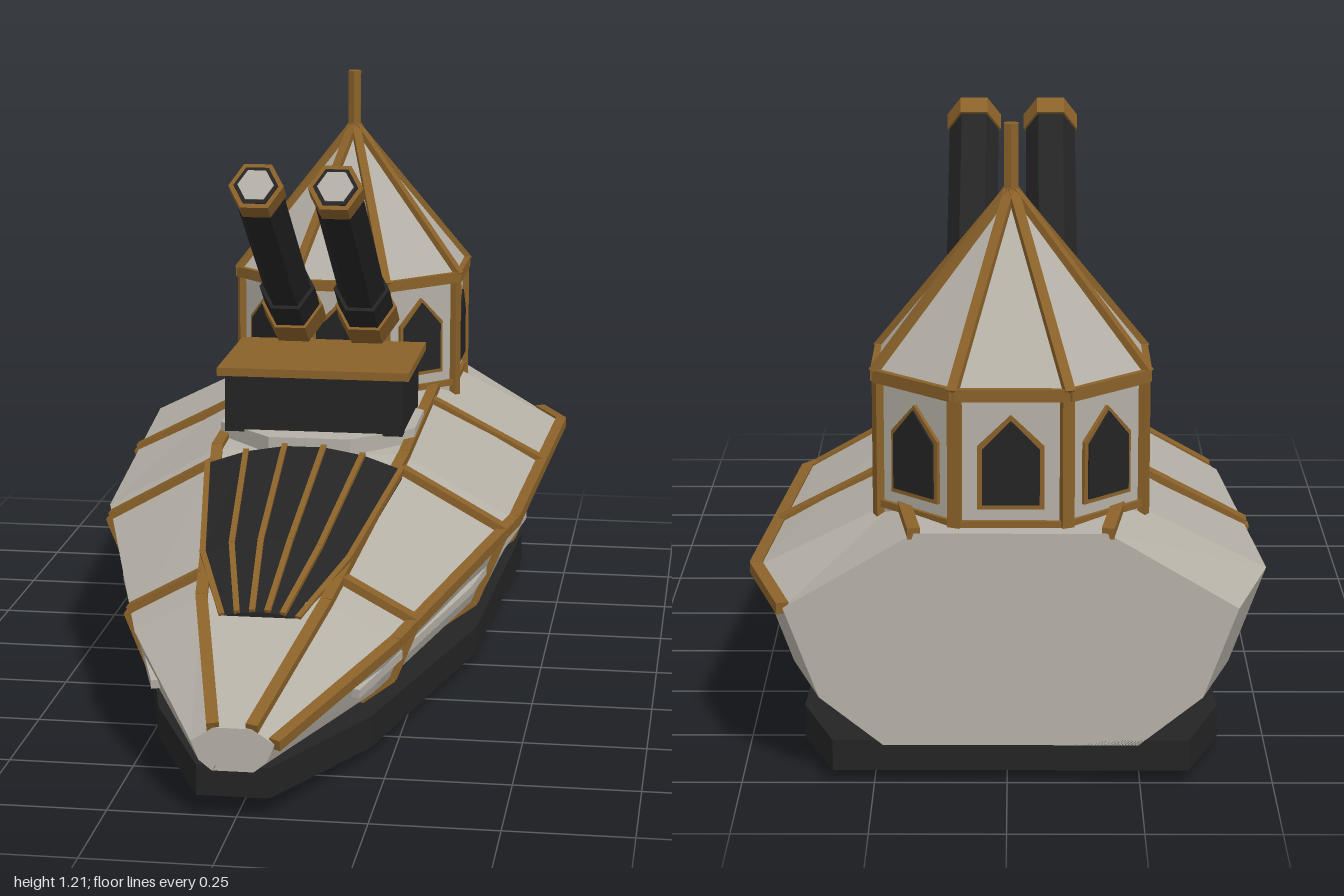
import * as THREE from 'three';

const plating = new THREE.MeshStandardMaterial({ color: 0xb5b0a6 });
plating.name = 'paleplating';
const brass = new THREE.MeshStandardMaterial({ color: 0x8a6129 });
brass.name = 'brass';
const dark = new THREE.MeshStandardMaterial({ color: 0x242424 });
dark.name = 'darkmetal';

const V = (x, y, z) => new THREE.Vector3(x, y, z);
const OCT = 1 / Math.cos(Math.PI / 8);

function flat(geo) {
  const g = geo.index ? geo.toNonIndexed() : geo;
  g.computeVertexNormals();
  return g;
}

function add(parent, name, geo, mat, pos = V(0, 0, 0)) {
  const m = new THREE.Mesh(flat(geo), mat);
  m.name = name;
  m.position.copy(pos);
  parent.add(m);
  return m;
}

// Square bar from a to b; w is measured along side, t across it
function beam(parent, name, a, b, w, t, side, mat = brass) {
  const dir = b.clone().sub(a);
  const len = dir.length();
  dir.normalize();
  const ny = dir.clone().cross(side).normalize();
  const nx = ny.clone().cross(dir);
  const g = new THREE.BoxGeometry(w, t, len);
  g.applyMatrix4(new THREE.Matrix4().makeBasis(nx, ny, dir));
  return add(parent, name, g, mat, a.clone().add(b).multiplyScalar(0.5));
}

// Mirrored loft, bow to stern; each row is z, then x,y pairs from top to bottom
function loft(rows) {
  const pos = [], idx = [];
  const half = (rows[0].length - 1) / 2, n = half * 2;
  for (const [z, ...p] of rows) {
    for (let i = 0; i < half; i++) pos.push(p[2 * i], p[2 * i + 1], z);
    for (let i = half - 1; i >= 0; i--) pos.push(-p[2 * i], p[2 * i + 1], z);
  }
  for (let s = 0; s < rows.length - 1; s++) {
    for (let i = 0; i < n; i++) {
      const a = s * n + i, b = s * n + (i + 1) % n;
      idx.push(a, b, b + n, a, b + n, a + n);
    }
  }
  const e = (rows.length - 1) * n;
  for (let i = 1; i < n - 1; i++) idx.push(0, i + 1, i, e, e + i, e + i + 1);
  const g = new THREE.BufferGeometry();
  g.setAttribute('position', new THREE.Float32BufferAttribute(pos, 3));
  g.setIndex(idx);
  return g;
}

// Hull rows: deck edge, widest edge, chine, keel
const HULL = [
  [1, 0.037, 0.175, 0.08, 0.147, 0.065, 0.11, 0.04, 0.09],
  [0.63, 0.125, 0.315, 0.262, 0.24, 0.22, 0.135, 0.14, 0.075],
  [0, 0.205, 0.465, 0.445, 0.33, 0.38, 0.17, 0.25, 0.075],
  [-0.8, 0.21, 0.5, 0.49, 0.362, 0.42, 0.172, 0.27, 0.075],
  [-1, 0.18, 0.49, 0.425, 0.345, 0.36, 0.17, 0.24, 0.075],
];

// Point on hull edge k at a given z
function hullPoint(k, z, s = 1) {
  let i = 0;
  while (i < HULL.length - 2 && z < HULL[i + 1][0]) i++;
  const A = HULL[i], B = HULL[i + 1], t = (A[0] - z) / (A[0] - B[0]);
  const f = j => A[j] + (B[j] - A[j]) * t;
  return V(s * f(1 + 2 * k), f(2 + 2 * k), z);
}

function buildHull(root) {
  add(root, 'hull', loft(HULL), plating);
  add(root, 'darkSkirt', loft([
    [1, 0.07, 0.1, 0.07, 0.04], [0.63, 0.215, 0.085, 0.215, 0.02], [0, 0.365, 0.085, 0.365, 0.028],
    [-0.8, 0.4, 0.082, 0.4, 0.015], [-1, 0.335, 0.085, 0.335, 0.025],
  ]), dark);
  add(root, 'bottomPlate', loft([
    [0.64, 0.18, 0.04, 0.18, 0.005], [0, 0.31, 0.04, 0.31, 0.01], [-0.79, 0.34, 0.04, 0.34, 0],
  ]), plating);

  const stations = HULL.map(r => r[0]);
  const across = V(1, 0, 0), along = V(0, 0, 1);
  for (const s of [1, -1]) {
    // Deck edge trim on both sides, widest edge trim on the left side
    for (let i = 0; i < 4; i++) {
      for (const k of s > 0 ? [0, 1] : [0]) {
        beam(root, 'edgeTrim', hullPoint(k, stations[i], s), hullPoint(k, stations[i + 1], s), 0.024, 0.022, across);
      }
    }
    // Ribs wrapped around the side
    for (const z of [0.53, 0.06, -0.455]) {
      for (let k = 0; k < 3; k++) {
        beam(root, 'rib', hullPoint(k, z, s), hullPoint(k + 1, z, s), 0.036, 0.022, along);
      }
    }
    // Side rail
    const rail = [[0.74, 0.168], [0.2, 0.23], [-0.3, 0.262]].map(([z, y]) => {
      const a = hullPoint(1, z, s), b = hullPoint(2, z, s);
      const p = a.clone().lerp(b, (a.y - y) / (a.y - b.y));
      p.x += s * 0.008;
      return p;
    });
    for (let i = 0; i < 2; i++) beam(root, 'sideRail', rail[i], rail[i + 1], 0.018, 0.018, across, plating);
  }
}

function buildForedeck(root) {
  // Arched grille: z, half width, crown height, edge height
  const rows = [[0.68, 0.076, 0.306, 0.295], [0.48, 0.15, 0.398, 0.365], [0.09, 0.21, 0.5, 0.455]];
  const arch = (r, u) => V(r[1] * u, r[2] - (r[2] - r[3]) * u * u, r[0]);
  add(root, 'foredeckGrille', loft(rows.map(r =>
    [r[0], ...[0.2, 0.6, 1].flatMap(u => { const p = arch(r, u); return [p.x, p.y]; }), r[1], r[3] - 0.05])), dark);
  for (const u of [-1, -0.6, -0.2, 0.2, 0.6, 1]) {
    for (let i = 0; i < 2; i++) {
      beam(root, 'grilleRib', arch(rows[i], u), arch(rows[i + 1], u), 0.012, 0.014, V(1, 0, 0));
    }
  }
}

function buildGun(root) {
  const plinth = new THREE.CylinderGeometry(0.215 * OCT, 0.215 * OCT, 0.06, 8).rotateY(Math.PI / 8);
  add(root, 'gunPlinth', plinth, plating, V(0, 0.47, -0.195));
  add(root, 'gunHouse', new THREE.BoxGeometry(0.39, 0.13, 0.305), dark, V(0, 0.56, -0.195));
  add(root, 'gunHouseLid', new THREE.BoxGeometry(0.42, 0.018, 0.335), brass, V(0, 0.63, -0.195));
  for (const s of [1, -1]) {
    const gun = new THREE.Group();
    gun.name = 'barrel';
    // Local +y runs from breech to muzzle
    gun.position.set(s * 0.083, 0.693, -0.343);
    gun.rotation.x = Math.PI / 2 - 0.61;
    const hex = (name, r, y0, y1, mat) => add(gun, name,
      new THREE.CylinderGeometry(r, r, y1 - y0, 6).rotateY(Math.PI / 6), mat, V(0, (y0 + y1) / 2, 0));
    hex('breech', 0.069, 0, 0.075, brass);
    hex('barrelSleeve', 0.062, 0.075, 0.165, dark);
    hex('barrelTube', 0.053, 0.165, 0.63, dark);
    hex('muzzleRing', 0.058, 0.625, 0.67, brass);
    hex('muzzleLiner', 0.047, 0.66, 0.673, dark);
    hex('muzzleBore', 0.038, 0.66, 0.676, plating);
    root.add(gun);
  }
}

function archShape(w, h, peak) {
  const s = new THREE.Shape();
  s.moveTo(-w / 2, 0);
  s.lineTo(w / 2, 0);
  s.lineTo(w / 2, h - peak);
  s.lineTo(0, h);
  s.lineTo(-w / 2, h - peak);
  return s;
}

function buildTower(root) {
  const tower = new THREE.Group();
  tower.name = 'tower';
  tower.position.z = -0.71;
  root.add(tower);
  const ap = 0.25, R = ap * OCT, E = 0.28, apex = V(0, 1.085, 0);
  add(tower, 'towerWall', new THREE.CylinderGeometry(R, R, 0.32, 8, 1).rotateY(Math.PI / 8), plating, V(0, 0.59, 0));
  add(tower, 'towerRoof', new THREE.ConeGeometry(E, 0.335, 8).rotateY(Math.PI / 8), plating, V(0, 0.9175, 0));
  add(tower, 'spire', new THREE.CylinderGeometry(0.016, 0.016, 0.13, 6), brass, V(0, 1.145, 0));
  const corner = (i, r, y) => {
    const a = (i + 0.5) * Math.PI / 4;
    return V(Math.sin(a) * r, y, Math.cos(a) * r);
  };
  for (let i = 0; i < 8; i++) {
    const tangent = V(0, 1, 0).cross(corner(i, 1, 0));
    beam(tower, 'cornerPost', corner(i, R, 0.46), corner(i, R, 0.75), 0.024, 0.02, tangent);
    beam(tower, 'roofRidge', corner(i, E, 0.75), apex, 0.02, 0.02, tangent);
    beam(tower, 'eave', corner(i, E - 0.004, 0.746), corner(i + 1, E - 0.004, 0.746), 0.024, 0.022, V(0, 1, 0));
    beam(tower, 'sill', corner(i, R, 0.497), corner(i + 1, R, 0.497), 0.014, 0.016, V(0, 1, 0));
    // Pointed window on each wall
    const win = new THREE.Group();
    win.name = 'window';
    win.rotation.y = i * Math.PI / 4;
    const plate = (name, w, h, peak, mat, y, z) => add(win, name,
      new THREE.ExtrudeGeometry(archShape(w, h, peak), { depth: 0.008, bevelEnabled: false }), mat, V(0, y, z));
    plate('windowFrame', 0.125, 0.18, 0.06, brass, 0.527, ap - 0.001);
    plate('windowPane', 0.107, 0.161, 0.055, dark, 0.536, ap + 0.003);
    tower.add(win);
  }
}

export function createModel() {
  const root = new THREE.Group();
  root.name = 'gunboat';
  const body = new THREE.Group();
  body.name = 'boat';
  body.position.x = -0.007;
  root.add(body);
  buildHull(body);
  buildForedeck(body);
  buildGun(body);
  buildTower(body);
  return root;
}
